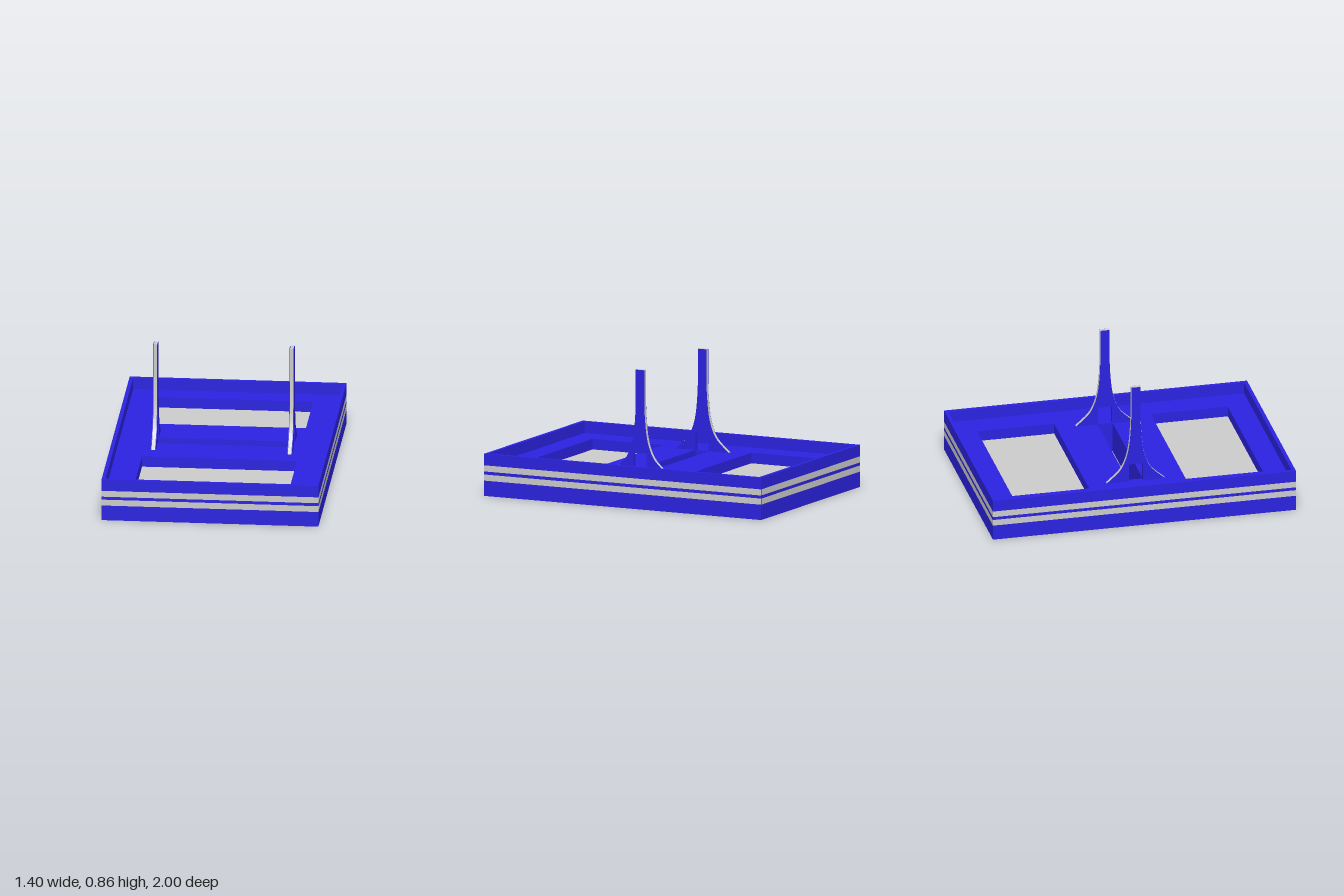
import * as THREE from 'three';

const blue = new THREE.MeshStandardMaterial({ color: 0x2a22e0 });
const grey = new THREE.MeshStandardMaterial({ color: 0xcccccc });

// Adds a closed rectangle centred on (x, y) to a Shape or Path
function rect(path, x, y, w, h) {
  path.moveTo(x - w / 2, y - h / 2);
  path.lineTo(x + w / 2, y - h / 2);
  path.lineTo(x + w / 2, y + h / 2);
  path.lineTo(x - w / 2, y + h / 2);
  path.closePath();
  return path;
}

// Horizontal 1.4 x 2 layer between two heights, with rectangular holes [z, width, length]
function layer(name, y0, y1, holes) {
  const shape = rect(new THREE.Shape(), 0, 0, 1.4, 2);
  for (const [z, w, l] of holes) shape.holes.push(rect(new THREE.Path(), 0, z, w, l));
  const geo = new THREE.ExtrudeGeometry(shape, { depth: y1 - y0, bevelEnabled: false });
  geo.rotateX(-Math.PI / 2).translate(0, y0, 0);
  const mesh = new THREE.Mesh(geo, blue);
  mesh.name = name;
  return mesh;
}

// Flared post seen from the side, with a notch at its foot; grow offsets the outline
function post(name, x, thickness, grow, material) {
  const flare = new THREE.SplineCurve([
    [0.19, 0.2], [0.108, 0.275], [0.07, 0.345], [0.047, 0.43], [0.035, 0.54], [0.03, 0.64],
  ].map(([z, y]) => new THREE.Vector2(z, y))).getPoints(20);
  const side = [...flare, new THREE.Vector2(0.03, 0.862 + grow)];
  const half = side.map(p => new THREE.Vector2(p.x + grow, p.y));
  const mirrored = half.map(p => new THREE.Vector2(-p.x, p.y)).reverse();
  const n = 0.047 + grow, top = 0.32 + grow;
  const notch = [[-n, 0.2], [-n, top], [n, top], [n, 0.2]].map(([z, y]) => new THREE.Vector2(z, y));
  const shape = new THREE.Shape([...half, ...mirrored, ...notch]);
  const geo = new THREE.ExtrudeGeometry(shape, { depth: thickness, bevelEnabled: false });
  geo.translate(0, 0, -thickness / 2).rotateY(-Math.PI / 2);
  const mesh = new THREE.Mesh(geo, material);
  mesh.position.x = x;
  mesh.name = name;
  return mesh;
}

export function createModel() {
  const model = new THREE.Group();
  model.name = 'tray';

  // Tray: slotted bottom, deck with two pockets, raised rim
  const slot = [0, 0.86, 0.1];
  model.add(layer('bottom', 0, 0.13, [slot]));
  model.add(layer('deck', 0.13, 0.2, [slot, [0.573, 1, 0.508], [-0.573, 1, 0.508]]));
  model.add(layer('rim', 0.2, 0.275, [[0, 1.35, 1.95]]));

  // Grey pocket floors
  for (const s of [-1, 1]) {
    const floor = new THREE.Mesh(new THREE.PlaneGeometry(1, 0.508).rotateX(-Math.PI / 2), grey);
    floor.position.set(0, 0.131, s * 0.573);
    floor.name = 'pocketFloor';
    model.add(floor);
  }

  // Two grey stripes running round all four sides
  for (const y of [0.12, 0.18]) {
    const stripe = new THREE.Group();
    stripe.name = 'stripe';
    for (let i = 0; i < 4; i++) {
      const [width, reach] = i % 2 ? [2, 0.701] : [1.4, 1.001];
      const band = new THREE.Mesh(new THREE.PlaneGeometry(width, 0.04).translate(0, y, reach), grey);
      band.rotation.y = i * Math.PI / 2;
      band.name = 'stripeSide';
      stripe.add(band);
    }
    model.add(stripe);
  }

  // Pair of flared posts, each with a grey strip along its edge
  for (const s of [-1, 1]) {
    model.add(post('post', s * 0.44, 0.03, 0, blue));
    model.add(post('postEdge', s * 0.44, 0.022, 0.0015, grey));
  }
  return model;
}
